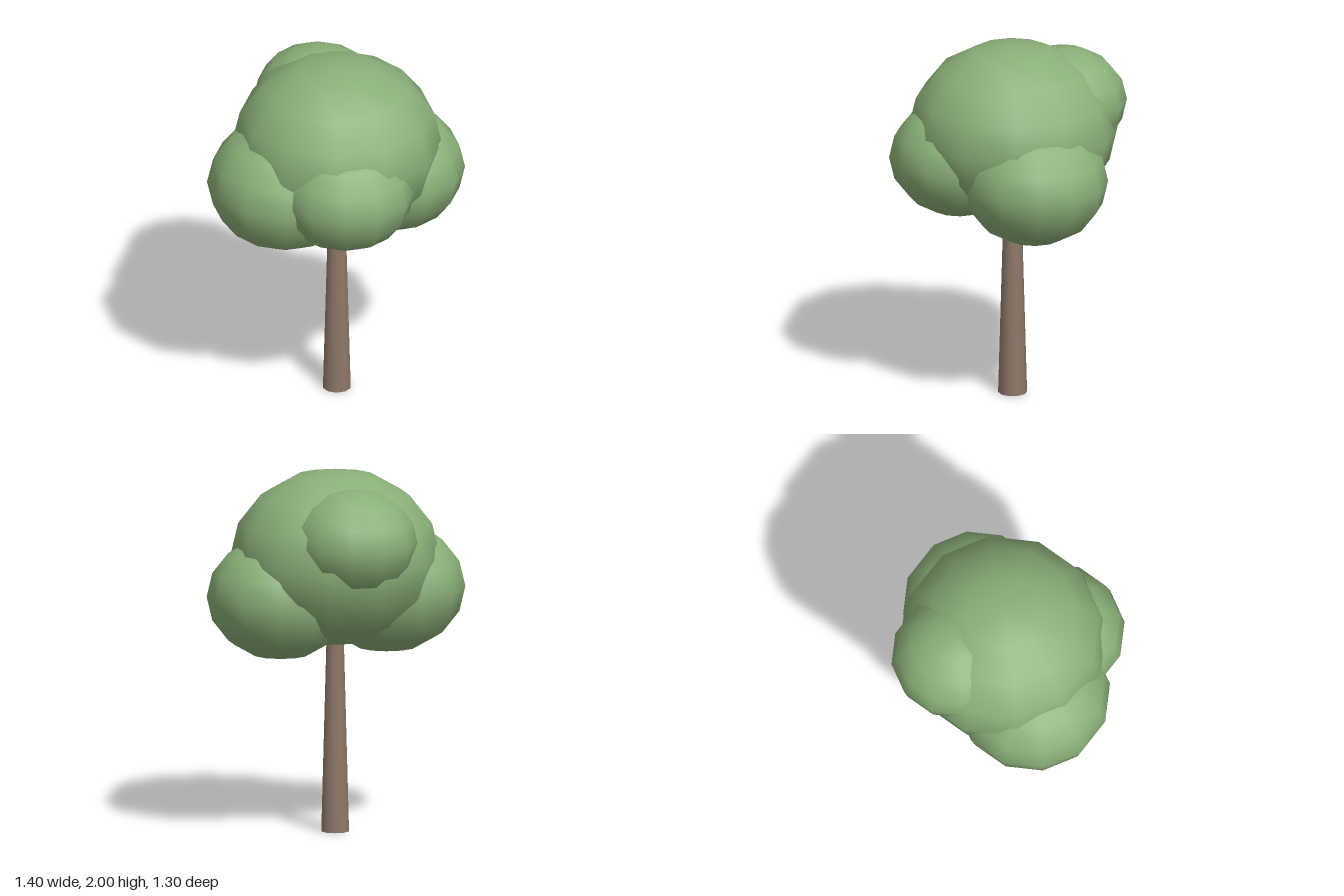
import * as THREE from 'three';

export function createModel() {
  const tree = new THREE.Group();
  tree.name = 'tree';

  const leafGreen = new THREE.MeshStandardMaterial({ color: 0x8bb079 });
  leafGreen.name = 'leaf green';
  const barkBrown = new THREE.MeshStandardMaterial({ color: 0x8e7868 });
  barkBrown.name = 'bark brown';

  // Tapered trunk, reaching a little way into the crown
  const trunkHeight = 1.15;
  const trunk = new THREE.Mesh(
    new THREE.CylinderGeometry(0.047, 0.079, trunkHeight, 10), barkBrown);
  trunk.name = 'trunk';
  trunk.position.set(0, trunkHeight / 2, -0.026);
  tree.add(trunk);

  // Foliage: slightly flattened low-poly balls [name, x, y, z, radius]
  const clumps = [
    ['crownMain', 0, 1.515, -0.026, 0.572],
    ['crownRight', -0.28, 1.335, 0.095, 0.427],
    ['crownLeft', 0.294, 1.31, -0.128, 0.404],
    ['crownFront', 0.047, 1.38, 0.27, 0.38],
    ['crownBack', -0.106, 1.64, -0.305, 0.35],
  ];
  const ball = new THREE.SphereGeometry(1, 12, 8);
  for (const [name, x, y, z, r] of clumps) {
    const clump = new THREE.Mesh(ball, leafGreen);
    clump.name = name;
    clump.position.set(x, y, z);
    clump.scale.set(r, r * 0.848, r);
    tree.add(clump);
  }
  return tree;
}
